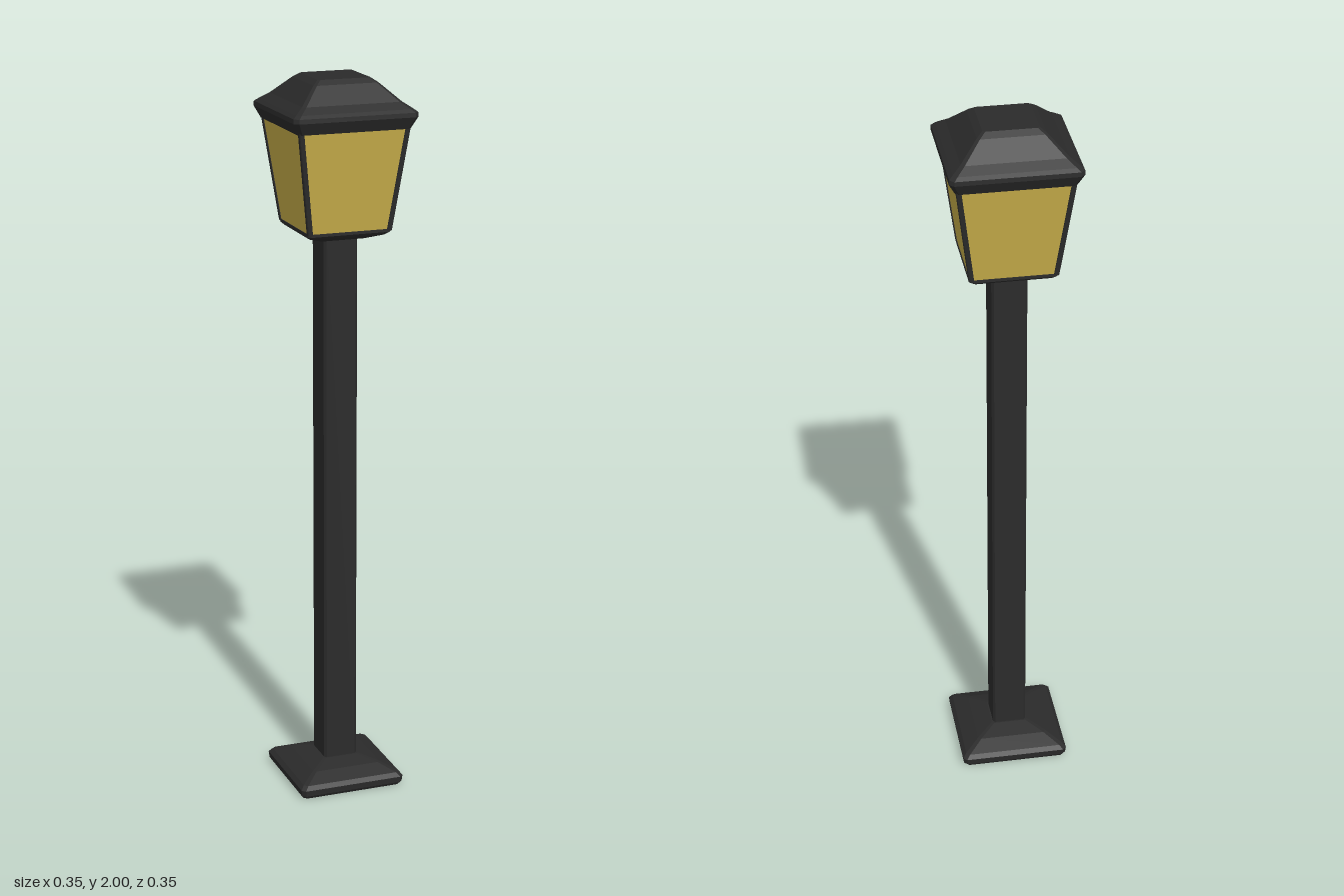
import * as THREE from 'three';

const iron = new THREE.MeshStandardMaterial({ color: 0x2b2b2b, flatShading: true });
const amber = new THREE.MeshStandardMaterial({ color: 0xc8ae4a, flatShading: true });

// Corners of a square of half-width h with bevelled corners, centred on (cx, cz)
function ring([y, h, bevel, cx = 0, cz = 0]) {
  const k = h - bevel;
  return [[h, -k], [h, k], [k, h], [-k, h], [-h, k], [-h, -k], [-k, -h], [k, -h]]
    .map(([x, z]) => [cx + x, y, cz + z]);
}

// Closed solid through rings listed from bottom to top
function loft(name, sections, material) {
  const rings = sections.map(ring);
  const pos = [];
  const tri = (...points) => points.forEach((p) => pos.push(...p));
  for (let r = 0; r < rings.length - 1; r++) {
    for (let i = 0; i < 8; i++) {
      const j = (i + 1) % 8;
      const [a, b, c, d] = [rings[r][i], rings[r][j], rings[r + 1][j], rings[r + 1][i]];
      tri(a, d, c);
      tri(a, c, b);
    }
  }
  const bottom = rings[0];
  const top = rings[rings.length - 1];
  for (let i = 1; i < 7; i++) {
    tri(bottom[0], bottom[i], bottom[i + 1]);
    tri(top[0], top[i + 1], top[i]);
  }
  const geometry = new THREE.BufferGeometry();
  geometry.setAttribute('position', new THREE.Float32BufferAttribute(pos, 3));
  geometry.computeVertexNormals();
  const mesh = new THREE.Mesh(geometry, material);
  mesh.name = name;
  return mesh;
}

export function createModel() {
  const model = new THREE.Group();
  model.name = 'lampPost';

  // Foot: low bevelled plinth
  model.add(loft('base', [
    [0, 0.145, 0.01], [0.008, 0.15, 0.01], [0.025, 0.152, 0.01],
    [0.036, 0.142, 0.01], [0.056, 0.1, 0.008], [0.07, 0.052, 0.006],
  ], iron));

  // Square post with narrow bevelled edges
  model.add(loft('post', [[0.05, 0.048, 0.006], [1.59, 0.048, 0.006]], iron));

  // Lantern
  const lantern = new THREE.Group();
  lantern.name = 'lantern';
  model.add(lantern);

  lantern.add(loft('lanternTray', [
    [1.57, 0.065, 0.006], [1.586, 0.108, 0.008], [1.594, 0.117, 0.008], [1.602, 0.117, 0.008],
  ], iron));

  lantern.add(loft('glass', [[1.6, 0.115, 0.004], [1.88, 0.152, 0.004]], amber));

  // Slim bars leaning outward along the four corners
  for (const sx of [-1, 1]) {
    for (const sz of [-1, 1]) {
      lantern.add(loft('cornerBar', [
        [1.598, 0.007, 0.002, sx * 0.111, sz * 0.111],
        [1.88, 0.007, 0.002, sx * 0.148, sz * 0.148],
      ], iron));
    }
  }

  // Roof: flared rim, shallow ledge and steep hip with a flat top
  lantern.add(loft('roof', [
    [1.873, 0.157, 0.01], [1.905, 0.173, 0.012], [1.917, 0.172, 0.012],
    [1.925, 0.162, 0.011], [1.942, 0.138, 0.009],
    [1.988, 0.09, 0.007], [2, 0.073, 0.006],
  ], iron));

  return model;
}
